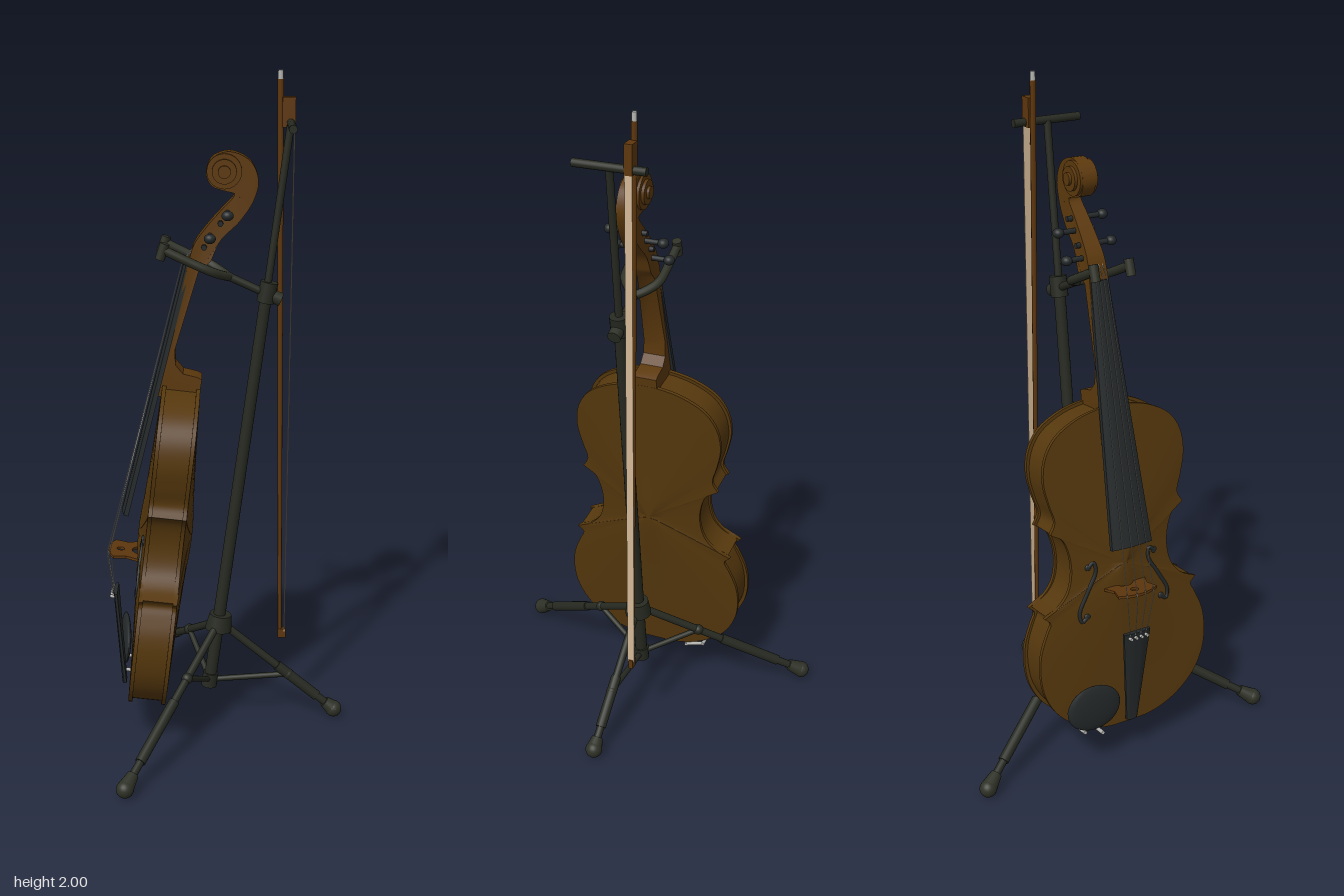
import * as THREE from 'three';
import { toCreasedNormals } from 'three/addons/utils/BufferGeometryUtils.js';

const mat = (name, color, side = THREE.FrontSide) => {
  const m = new THREE.MeshStandardMaterial({ color, side });
  m.name = name;
  return m;
};
const V = (x, y, z = 0) => new THREE.Vector3(x, y, z);

export function createModel() {
  const model = new THREE.Group();
  model.name = 'violinOnStand';
  const varnish = mat('varnishedWood', 0x56380d);
  const neckWood = mat('neckWood', 0x5c390d);
  const bowWood = mat('bowWood', 0x5e370d);
  const ebony = mat('ebony', 0x25292a);
  const metal = mat('standMetal', 0x272a21);
  const rubber = mat('rubber', 0x2e3126);
  const silver = mat('silver', 0xb4b4b0);
  const hairMat = mat('bowHair', 0xd5ba97, THREE.DoubleSide);

  const add = (parent, name, geo, material) => {
    const m = new THREE.Mesh(geo, material);
    m.name = name;
    parent.add(m);
    return m;
  };
  // Round bar from a to b
  const rod = (parent, name, a, b, r0, r1, material, sides = 16) => {
    const m = add(parent, name, new THREE.CylinderGeometry(r1, r0, a.distanceTo(b), sides), material);
    m.position.copy(a).lerp(b, 0.5);
    m.quaternion.setFromUnitVectors(V(0, 1), b.clone().sub(a).normalize());
    return m;
  };
  const ball = (parent, name, p, r, material, sx = 1, sy = 1, sz = 1) => {
    const m = add(parent, name, new THREE.SphereGeometry(r, 20, 14), material);
    m.position.copy(p);
    m.scale.set(sx, sy, sz);
    return m;
  };
  // Change every vertex by a rule
  const bend = (geo, rule) => {
    const p = geo.attributes.position, v = V(0, 0);
    for (let i = 0; i < p.count; i++) {
      v.fromBufferAttribute(p, i);
      rule(v);
      p.setXYZ(i, v.x, v.y, v.z);
    }
    return toCreasedNormals(geo, 0.6);
  };
  const spline = (pts, n) => new THREE.CatmullRomCurve3(pts.map(p => V(p[0], p[1]))).getPoints(n);

  // ---- Violin body: built facing +z, then turned to face -x and leaned back
  const violin = new THREE.Group();
  violin.name = 'violinBody';
  violin.position.set(-0.245, 0.1, 0);
  violin.rotation.set(0, -Math.PI / 2, -0.115, 'ZYX');
  model.add(violin);

  const C = 0.53;
  const lower = spline([[0, 0], [0.08, 0.004], [0.16, 0.032], [0.235, 0.09], [0.275, 0.16], [0.287, 0.23],
    [0.28, 0.3], [0.256, 0.36], [0.243, 0.39], [0.262, 0.41]], 36);
  const waist = spline([[0.262, 0.41], [0.215, 0.432], [0.18, 0.47], [0.164, 0.53], [0.17, 0.595],
    [0.19, 0.64], [0.225, 0.662]], 24);
  const upper = spline([[0.225, 0.662], [0.208, 0.695], [0.222, 0.75], [0.236, 0.82], [0.226, 0.89],
    [0.19, 0.945], [0.12, 0.985], [0.05, 1.002], [0, 1.005]], 32);
  const half = [...lower, ...waist.slice(1), ...upper.slice(1)];
  const outline = [...half, ...half.slice(1, -1).reverse().map(p => V(-p.x, p.y))];

  // Rings shrink inward and ease from the outline to an oval, so the arching stays smooth
  const arch = s => 0.056 + 0.026 * Math.pow(1 - s * s, 1.3);
  const ringPoint = (p, s) => {
    const dx = p.x, dy = p.y - C, r = Math.hypot(dx, dy);
    const oval = r / Math.hypot(dx / 0.19, dy / 0.48) / r;
    const k = s * (1 + (oval * r - 1) * Math.min(1, Math.max(0, (0.94 - s) * 2)));
    return [dx * k, C + dy * k];
  };
  const rings = [[0.95, 0.044], [1, 0.044], [1, 0.056]];
  for (const s of [0.96, 0.88, 0.76, 0.62, 0.46, 0.3, 0.15, 0]) rings.push([s, arch(s)]);
  const plate = () => {
    const n = outline.length, pos = [], idx = [];
    for (const [s, z] of rings) for (const p of outline) pos.push(...ringPoint(p, s), z);
    for (let j = 0; j < rings.length - 1; j++) for (let i = 0; i < n; i++) {
      const k = (i + 1) % n, a = j * n, b = a + n;
      idx.push(a + i, a + k, b + k, a + i, b + k, b + i);
    }
    const g = new THREE.BufferGeometry();
    g.setAttribute('position', new THREE.Float32BufferAttribute(pos, 3));
    g.setIndex(idx);
    return toCreasedNormals(g, 0.7);
  };
  add(violin, 'frontPlate', plate(), varnish);
  add(violin, 'backPlate', plate().rotateY(Math.PI), varnish);
  const ribShape = new THREE.Shape(outline.map(p => new THREE.Vector2(p.x * 0.965, C + (p.y - C) * 0.98)));
  const ribs = new THREE.ExtrudeGeometry(ribShape, { depth: 0.092, bevelEnabled: false }).translate(0, 0, -0.046);
  add(violin, 'ribs', toCreasedNormals(ribs, 0.6), varnish);

  // Sound holes follow the arched front
  const surface = (x, y) => {
    const a = Math.atan2(y - C, x), off = p => Math.abs(Math.atan2(p.y - C, p.x) - a);
    const edge = outline.reduce((m, p) => (off(p) < off(m) ? p : m));
    let s = 0;
    while (s < 1 && Math.abs(ringPoint(edge, s)[0]) < x) s += 0.01;
    return arch(Math.min(1, s));
  };
  const fPath = [[0.128, 0.385], [0.145, 0.372], [0.152, 0.4], [0.122, 0.46], [0.09, 0.52], [0.096, 0.548], [0.113, 0.535]];
  for (const side of [1, -1]) {
    const curve = new THREE.CatmullRomCurve3(fPath.map(([x, y]) => V(side * x, y, surface(x, y))));
    add(violin, 'soundHole', new THREE.TubeGeometry(curve, 40, 0.006, 6), ebony);
    for (const k of [0, 6]) ball(violin, 'soundHoleEnd', V(side * fPath[k][0], fPath[k][1], surface(...fPath[k])), 0.01, ebony, 1, 1, 0.5);
  }

  // Bridge
  const b = new THREE.Shape();
  b.moveTo(-0.07, 0.075); b.lineTo(-0.03, 0.075);
  b.quadraticCurveTo(0, 0.115, 0.03, 0.075);
  b.lineTo(0.07, 0.075); b.lineTo(0.056, 0.11); b.lineTo(0.066, 0.148);
  b.quadraticCurveTo(0, 0.186, -0.066, 0.148);
  b.lineTo(-0.056, 0.11);
  const heart = new THREE.Path();
  heart.absarc(0, 0.13, 0.012, 0, Math.PI * 2, true);
  b.holes.push(heart);
  add(violin, 'bridge', new THREE.ExtrudeGeometry(b, { depth: 0.008, bevelEnabled: false })
    .rotateX(Math.PI / 2).translate(0, 0.462, 0), bowWood);

  // Chin rest with its clamp
  const rest = ball(violin, 'chinRest', V(-0.135, 0.1, 0.088), 0.1, ebony, 1, 0.7, 0.15);
  rest.rotation.set(0, 0.14, -0.2);
  const screws = [V(-0.105, 0.002), V(-0.165, 0.022)];
  for (const p of screws) rod(violin, 'clampScrew', V(p.x, p.y, -0.06), V(p.x, p.y, 0.08), 0.006, 0.006, silver, 8);
  for (const z of [-0.055, 0.02]) rod(violin, 'clampBar', V(-0.105, 0.002, z), V(-0.165, 0.022, z), 0.006, 0.006, silver, 8);
  rod(violin, 'endButton', V(0, 0.01, 0), V(0, -0.015, 0), 0.016, 0.012, ebony);

  // ---- Long tapered board with a rounded face, from a to c in the side plane
  const board = (name, a, c, w0, w1, thick, crown) => {
    const s = new THREE.Shape();
    s.moveTo(-1, -thick); s.lineTo(1, -thick); s.lineTo(1, -crown);
    s.quadraticCurveTo(0, crown, -1, -crown);
    const len = a.distanceTo(c);
    const g = new THREE.ExtrudeGeometry(s, { depth: len, bevelEnabled: false, curveSegments: 12 });
    const nx = -(c.y - a.y) / len, ny = (c.x - a.x) / len;
    add(model, name, bend(g, v => {
      const t = v.z / len, w = w0 + (w1 - w0) * t;
      v.set(a.x + (c.x - a.x) * t + nx * v.y, a.y + (c.y - a.y) * t + ny * v.y, -v.x * w);
    }), ebony);
  };
  board('fingerboard', V(-0.313, 0.71), V(-0.122, 1.46), 0.067, 0.028, 0.022, 0.008);
  board('tailpiece', V(-0.325, 0.125), V(-0.346, 0.44), 0.018, 0.045, 0.014, 0.006);

  // Neck, peg box and scroll cut from one side profile
  const heel = [[-0.2, 1.07], [-0.078, 1.07], [-0.07, 1.12], [-0.085, 1.128], [-0.125, 1.138], [-0.147, 1.165], [-0.148, 1.21], [-0.078, 1.44]];
  const head = spline([[-0.042, 1.472], [-0.015, 1.53], [0.04, 1.585], [0.08, 1.645], [0.093, 1.7], [0.07, 1.755],
    [0.01, 1.782], [-0.04, 1.762], [-0.056, 1.722], [-0.04, 1.685], [0, 1.67], [0.025, 1.662], [-0.01, 1.62],
    [-0.05, 1.575], [-0.09, 1.52], [-0.108, 1.465]], 70);
  const neckShape = new THREE.Shape([...heel.map(p => new THREE.Vector2(...p)), ...head.map(p => new THREE.Vector2(p.x, p.y))]);
  const neckGeo = new THREE.ExtrudeGeometry(neckShape, { depth: 2, bevelEnabled: false }).translate(0, 0, -1);
  const map = THREE.MathUtils.mapLinear;
  add(model, 'neckAndScroll', bend(neckGeo, v => {
    v.z *= v.y < 1.46 ? map(v.y, 1.07, 1.46, 0.038, 0.027) : Math.max(0.02, map(v.y, 1.46, 1.66, 0.031, 0.02));
  }), neckWood);
  for (const [r, w] of [[0.05, 0.056], [0.035, 0.074], [0.018, 0.09]])
    rod(model, 'scrollVolute', V(-0.004, 1.727, -w / 2), V(-0.004, 1.727, w / 2), r, r, neckWood, 32);

  // Tuning pegs
  [[0.005, 1.61, 1], [-0.015, 1.58, -1], [-0.045, 1.545, 1], [-0.062, 1.512, -1]].forEach(([x, y, s]) => {
    rod(model, 'pegShaft', V(x, y, -s * 0.038), V(x, y, s * 0.07), 0.008, 0.008, ebony);
    ball(model, 'pegHead', V(x, y, s * 0.077), 0.018, ebony, 0.95, 0.8, 0.9);
  });

  // Strings with fine tuners on the tailpiece
  for (const i of [-1.5, -0.5, 0.5, 1.5]) {
    const lift = 0.006 * (Math.abs(i) - 0.5);
    const path = [V(-0.345, 0.435, i * 0.018), V(-0.362 + lift, 0.562, i * 0.03), V(-0.125, 1.465, i * 0.012), V(-0.06, 1.545, i * 0.01)];
    for (let k = 0; k < 3; k++) rod(model, 'string', path[k], path[k + 1], 0.0014, 0.0014, silver, 6);
    rod(model, 'fineTuner', V(-0.338, 0.425, i * 0.018), V(-0.355, 0.427, i * 0.018), 0.005, 0.005, silver, 8);
  }

  // ---- Stand: mast, hub, legs and braces
  const hub = V(-0.02, 0.33), base = V(-0.05, 0.13), top = V(0.182, 1.85), mid = V(0.122, 1.4);
  rod(model, 'mastLower', V(-0.052, 0.115), mid, 0.019, 0.017, metal);
  rod(model, 'mastUpper', mid, top, 0.011, 0.011, metal);
  rod(model, 'mastBaseCollar', V(-0.053, 0.11), V(-0.047, 0.155), 0.024, 0.024, metal);
  rod(model, 'hub', V(-0.023, 0.305), V(-0.016, 0.355), 0.042, 0.034, metal);
  const feet = [[V(0.34, 0.027), 0.6], [V(-0.29, 0.027, 0.476), 0.36], [V(-0.29, 0.027, -0.476), 0.36]];
  for (const [foot, t] of feet) {
    const at = k => hub.clone().lerp(foot, k);
    rod(model, 'leg', hub, foot, 0.012, 0.012, metal);
    rod(model, 'legSleeve', at(0.5), at(0.85), 0.016, 0.016, metal);
    rod(model, 'footSleeve', at(0.92), foot, 0.017, 0.026, rubber);
    ball(model, 'foot', foot, 0.026, rubber);
    rod(model, 'brace', base, at(t), 0.009, 0.009, metal);
    ball(model, 'braceJoint', at(t), 0.017, metal);
  }

  // Neck holder: a fork reaching round the neck
  rod(model, 'forkArm', V(0.145, 1.358), V(0.0, 1.425), 0.012, 0.012, metal);
  rod(model, 'forkClamp', V(0.115, 1.345), V(0.127, 1.405), 0.026, 0.026, metal);
  rod(model, 'clampKnob', V(0.13, 1.365), V(0.16, 1.352), 0.02, 0.02, rubber);
  for (const s of [1, -1]) {
    const curve = new THREE.CatmullRomCurve3([V(0.01, 1.42, 0), V(-0.015, 1.432, s * 0.03), V(-0.045, 1.447, s * 0.052),
      V(-0.11, 1.477, s * 0.057), V(-0.178, 1.51, s * 0.057)]);
    add(model, 'forkProng', new THREE.TubeGeometry(curve, 30, 0.013, 12), rubber);
    rod(model, 'forkTip', V(-0.188, 1.482, s * 0.057), V(-0.172, 1.528, s * 0.057), 0.014, 0.014, rubber);
  }

  // Bow hanger
  rod(model, 'bowHangerBar', V(0.185, 1.853, -0.108), V(0.185, 1.853, 0.105), 0.012, 0.012, metal);

  // ---- Bow
  const Z = -0.06;
  rod(model, 'bowStick', V(0.17, 0.26, Z), V(0.155, 1.975, Z), 0.006, 0.009, bowWood, 8);
  rod(model, 'bowButton', V(0.155, 1.972, Z), V(0.155, 2, Z), 0.008, 0.007, silver, 8);
  add(model, 'frog', new THREE.BoxGeometry(0.038, 0.085, 0.024), bowWood).position.set(0.18, 1.883, Z);
  add(model, 'bowTip', new THREE.BoxGeometry(0.024, 0.03, 0.014), bowWood).position.set(0.176, 0.262, Z);
  const hair = add(model, 'bowHair', new THREE.BoxGeometry(0.002, 1.58, 0.022), hairMat);
  hair.position.set(0.19, 1.06, Z);
  hair.rotation.z = -0.008;
  return model;
}
